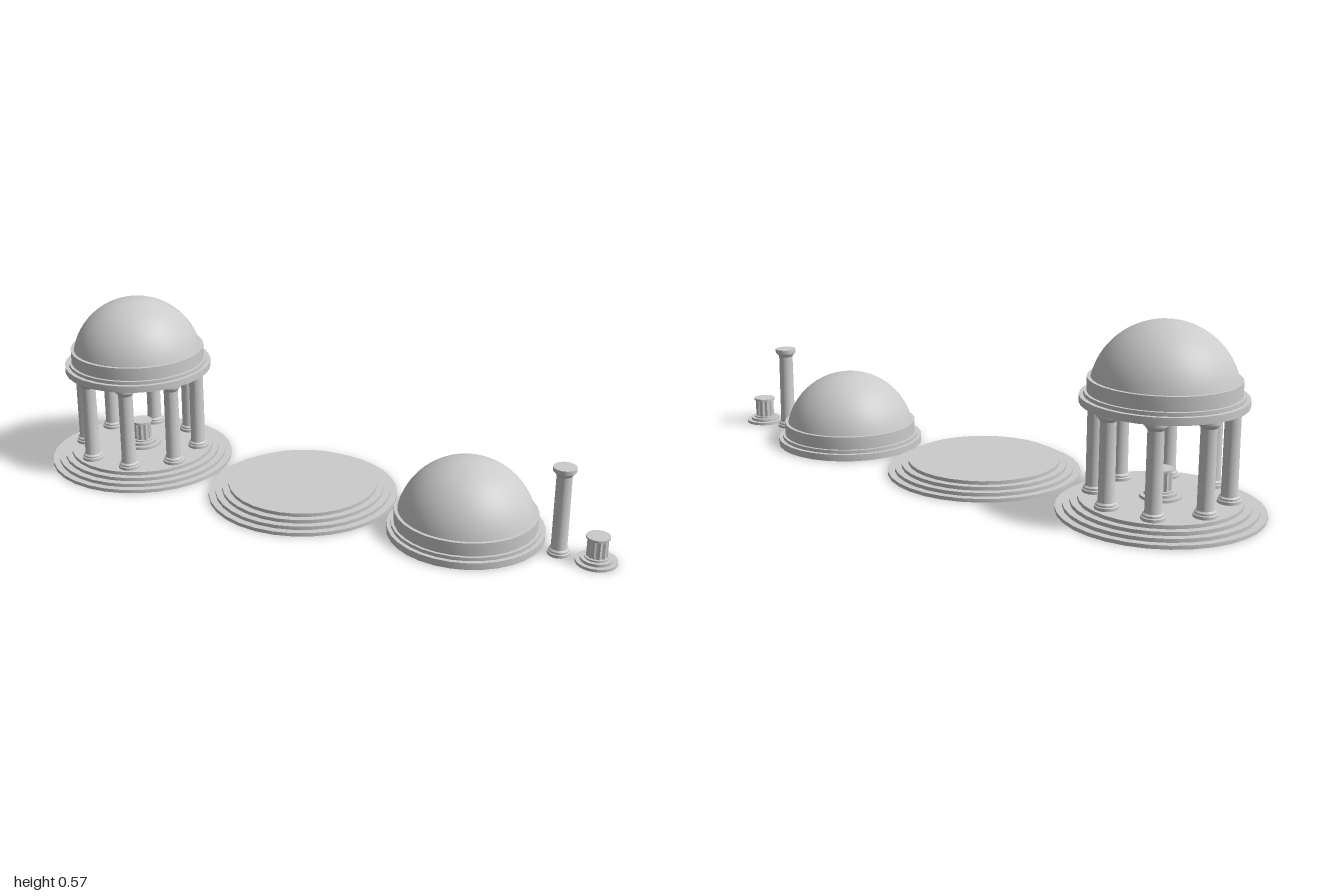
import * as THREE from 'three';
import { toCreasedNormals } from 'three/addons/utils/BufferGeometryUtils.js';

const stone = new THREE.MeshStandardMaterial({ color: 0xcccccc });
const thinStone = new THREE.MeshStandardMaterial({ color: 0xcccccc, side: THREE.DoubleSide });

function turned(name, profile, segments, material = stone) {
  const points = profile.map(([r, y]) => new THREE.Vector2(r, y));
  const geometry = toCreasedNormals(new THREE.LatheGeometry(points, segments), 0.5);
  const mesh = new THREE.Mesh(geometry, material);
  mesh.name = name;
  return mesh;
}

function group(name, x, y, z, ...parts) {
  const g = new THREE.Group();
  g.name = name;
  g.position.set(x, y, z);
  if (parts.length) g.add(...parts);
  return g;
}

// Stepped round platform, hollow underneath
function platform() {
  const profile = [];
  const step = 0.045 / 4;
  for (let i = 0; i < 4; i++) {
    const r = 0.309 - i * 0.022;
    profile.push([r, i * step], [r, (i + 1) * step]);
  }
  profile.push([0, 0.045]);
  return turned('steppedPlatform', profile, 32, thinStone);
}

// Entablature rings, drum and shallow spherical dome
function dome() {
  const rings = turned('entablature', [
    [0, 0], [0.245, 0], [0.245, 0.022], [0.232, 0.022], [0.232, 0.033],
    [0.223, 0.033], [0.223, 0.075], [0.205, 0.075],
  ], 32);
  const cap = [];
  const radius = 0.218, centre = 0.024, start = Math.asin(0.05 / radius);
  for (let i = 0; i <= 14; i++) {
    const a = start + (Math.PI / 2 - start) * i / 14;
    cap.push([i === 14 ? 0 : radius * Math.cos(a), centre + radius * Math.sin(a)]);
  }
  return [rings, turned('domeShell', cap, 48)];
}

// Round column with moulded base and flared capital
function column() {
  return turned('column', [
    [0, 0], [0.035, 0], [0.035, 0.009], [0.031, 0.011], [0.031, 0.016],
    [0.026, 0.021], [0.0245, 0.028], [0.0235, 0.258], [0.026, 0.262],
    [0.030, 0.267], [0.031, 0.271], [0.035, 0.272], [0.035, 0.285], [0, 0.285],
  ], 24);
}

// Small fluted pedestal on stepped discs
function pedestal() {
  const foot = turned('pedestalFoot', [
    [0.063, 0], [0.063, 0.009], [0.049, 0.009], [0.049, 0.018],
    [0.037, 0.018], [0.037, 0.023], [0.028, 0.023],
  ], 32, thinStone);
  const wall = new THREE.CylinderGeometry(1, 1, 0.06, 96, 1, true);
  const p = wall.attributes.position;
  for (let i = 0; i < p.count; i++) {
    const a = Math.atan2(p.getZ(i), p.getX(i));
    const r = 0.0325 - 0.0045 * Math.abs(Math.sin(a * 6));
    p.setXYZ(i, r * Math.cos(a), p.getY(i) + 0.052, r * Math.sin(a));
  }
  const shaft = new THREE.Mesh(toCreasedNormals(wall, 0.6), thinStone);
  shaft.name = 'flutedShaft';
  const top = turned('pedestalTop', [
    [0, 0.081], [0.036, 0.081], [0.036, 0.088], [0, 0.088],
  ], 32);
  return [foot, shaft, top];
}

export function createModel() {
  const model = new THREE.Group();
  model.name = 'rotundaKit';

  // Assembled rotunda
  const rotunda = group('rotunda', -0.691, 0, 0, platform());
  rotunda.add(group('roof', 0, 0.329, 0, ...dome()));
  rotunda.add(group('centrePedestal', 0, 0.045, 0, ...pedestal()));
  for (let i = 0; i < 8; i++) {
    const a = (i + 0.5) * Math.PI / 4;
    rotunda.add(group('columnPlace', 0.197 * Math.cos(a), 0.045, 0.197 * Math.sin(a), column()));
  }

  // Separate pieces in a row
  model.add(
    rotunda,
    group('loosePlatform', -0.053, 0, 0, platform()),
    group('looseDome', 0.52, 0, 0, ...dome()),
    group('looseColumn', 0.82, 0, 0, column()),
    group('loosePedestal', 0.936, 0, 0, ...pedestal()),
  );
  return model;
}
